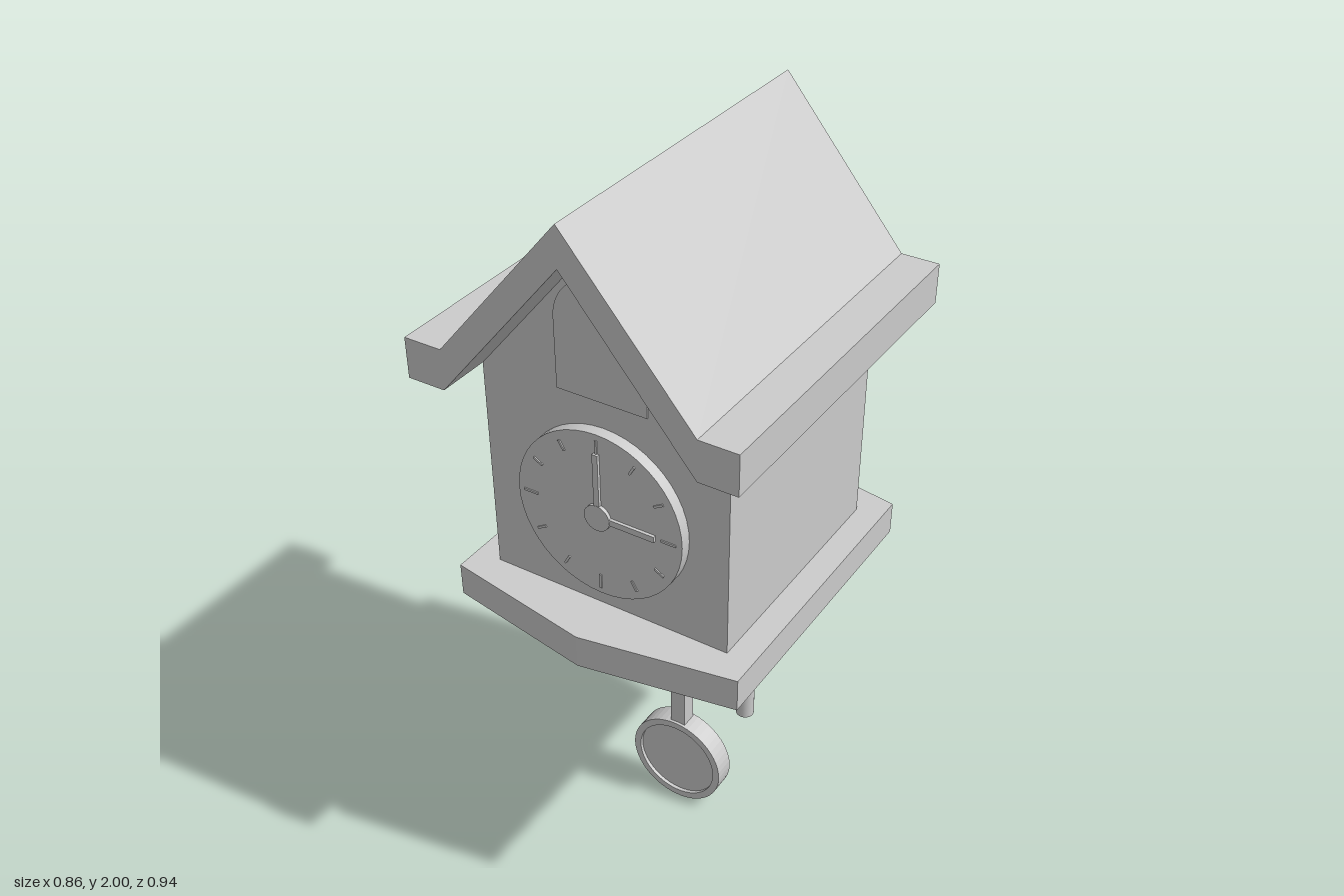
import * as THREE from 'three';

const material = new THREE.MeshStandardMaterial({ color: 0xcccccc });

const polygon = (points) => new THREE.Shape(points.map(([x, y]) => new THREE.Vector2(x, y)));

// Extrude a shape along z from z0 to z1
function extrude(shape, z0, z1) {
  const geometry = new THREE.ExtrudeGeometry(shape, { depth: z1 - z0, bevelEnabled: false, curveSegments: 24 });
  return geometry.translate(0, 0, z0);
}

// Flat slab from a plan outline, between heights y0 and y1
const slab = (shape, y0, y1) => extrude(shape, y0, y1).rotateX(-Math.PI / 2);

// Disc facing the front, between z0 and z1
const disc = (r, z0, z1, segments = 48) =>
  new THREE.CylinderGeometry(r, r, z1 - z0, segments).rotateX(Math.PI / 2).translate(0, 0, (z0 + z1) / 2);

const box = (w, h, d, x, y, z) => new THREE.BoxGeometry(w, h, d).translate(x, y, z);

export function createModel() {
  const model = new THREE.Group();
  model.name = 'cuckooClock';
  const add = (name, geometry, parent = model) => {
    const mesh = new THREE.Mesh(geometry, material);
    mesh.name = name;
    parent.add(mesh);
    return mesh;
  };

  // House body with gables
  add('houseBody', extrude(polygon([[-0.33, 0.93], [0.33, 0.93], [0.33, 1.505], [0, 1.9], [-0.33, 1.505]]), -0.33, 0.33));

  // Bent roof with flat eaves
  add('roof', extrude(polygon([
    [0, 2], [-0.33, 1.61], [-0.43, 1.61], [-0.43, 1.505], [-0.33, 1.505],
    [0, 1.9], [0.33, 1.505], [0.43, 1.505], [0.43, 1.61], [0.33, 1.61],
  ]), -0.47, 0.47));

  // Base with pointed front and back, and a square recess underneath
  const plan = () => polygon([[-0.4, -0.4], [0, -0.47], [0.4, -0.4], [0.4, 0.4], [0, 0.47], [-0.4, 0.4]]);
  const rim = plan();
  rim.holes.push(polygon([[-0.22, -0.23], [-0.22, 0.23], [0.22, 0.23], [0.22, -0.23]]));
  add('baseTop', slab(plan(), 0.88, 0.93));
  add('baseRim', slab(rim, 0.84, 0.88));

  // Arched bird door
  const arch = new THREE.Shape();
  arch.moveTo(-0.12, 1.51);
  arch.lineTo(0.12, 1.51);
  arch.lineTo(0.12, 1.69);
  arch.absarc(0, 1.69, 0.12, 0, Math.PI);
  arch.closePath();
  add('birdDoor', extrude(arch, 0.325, 0.334));

  // Dial with hour marks, hub and hands
  const dial = new THREE.Group();
  dial.name = 'dial';
  dial.position.y = 1.215;
  model.add(dial);
  add('dialPlate', disc(0.226, 0.33, 0.36), dial);
  for (let i = 0; i < 12; i++) {
    const length = i % 3 ? 0.028 : 0.04;
    const mark = add('hourMark', box(0.006, length, 0.004, 0, 0.19, 0.361), dial);
    mark.rotation.z = (i * Math.PI) / 6;
  }
  add('hub', disc(0.035, 0.36, 0.369, 32), dial);
  add('minuteHand', box(0.015, 0.175, 0.008, 0, 0.0875, 0.364), dial);
  add('hourHand', box(0.155, 0.016, 0.008, 0.0775, 0, 0.364), dial);

  // Pendulum with a rimmed bob
  const pendulum = new THREE.Group();
  pendulum.name = 'pendulum';
  model.add(pendulum);
  add('pendulumRod', box(0.044, 0.62, 0.044, 0, 0.57, 0), pendulum);
  const ring = new THREE.Shape().absarc(0, 0, 0.14, 0, Math.PI * 2);
  ring.holes.push(new THREE.Path().absarc(0, 0, 0.12, 0, Math.PI * 2, true));
  add('bobRim', extrude(ring, -0.03, 0.03).translate(0, 0.142, 0), pendulum);
  add('bobPlate', disc(0.122, -0.02, 0.02).translate(0, 0.142, 0), pendulum);

  // Hanging weights on both sides
  for (const [side, x] of [['left', 0.2], ['right', -0.2]]) {
    add(side + 'Chain', new THREE.CylinderGeometry(0.014, 0.014, 0.32, 16).translate(x, 0.72, 0));
    add(side + 'Weight', new THREE.CylinderGeometry(0.024, 0.024, 0.165, 24).translate(x, 0.49, 0));
  }

  return model;
}
